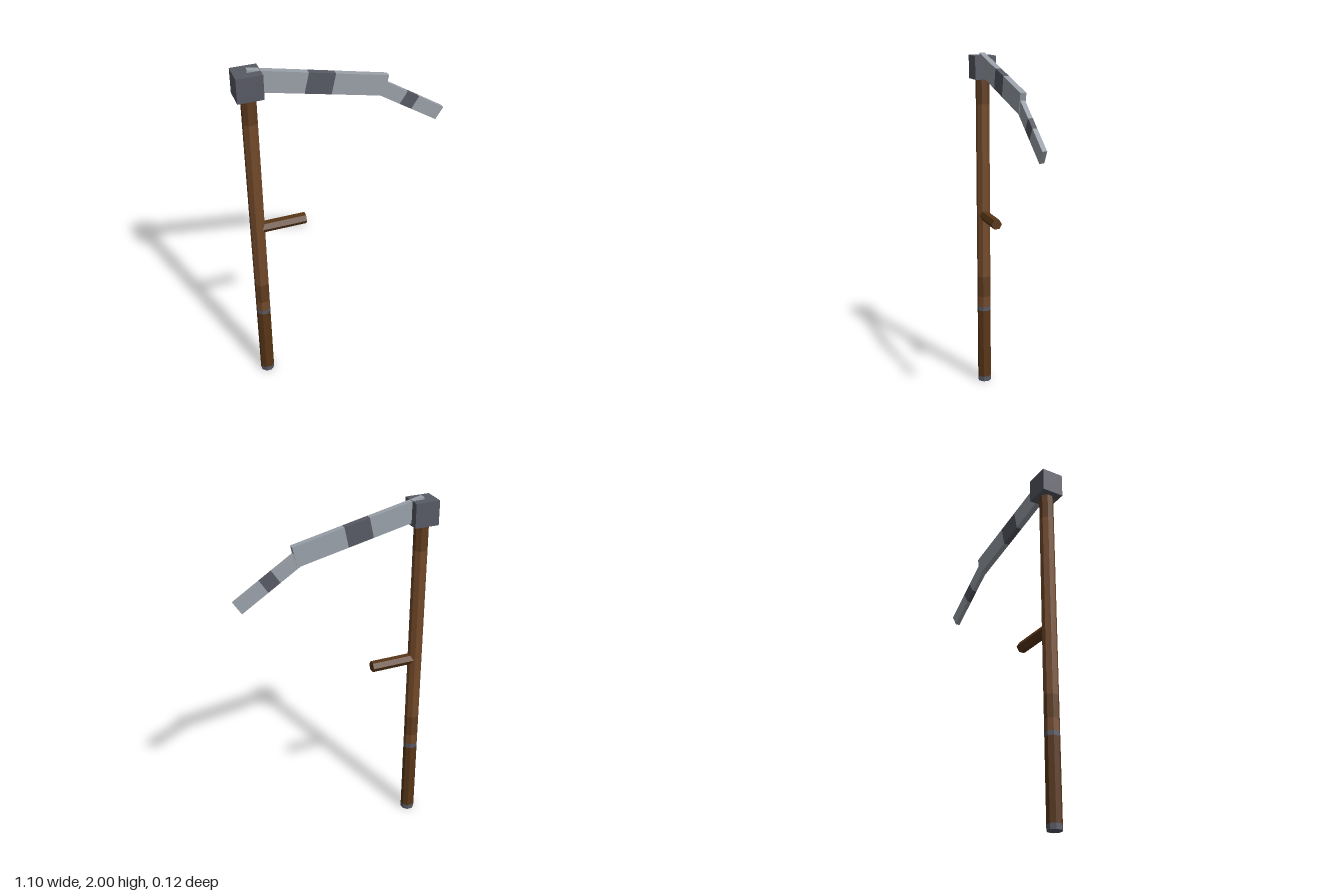
import * as THREE from 'three';

const mat = (name, color) => {
  const m = new THREE.MeshStandardMaterial({ color });
  m.name = name;
  m.flatShading = true;
  return m;
};

export function createModel() {
  const steel = mat('pale steel', 0x9aa1a9);
  const iron = mat('dark iron', 0x585a65);
  const wood = mat('wood', 0x734a2a);
  const stained = mat('stained wood', 0x613d20);
  const darkWood = mat('dark wood', 0x593617);

  const model = new THREE.Group();
  model.name = 'scythe';
  const add = (parent, name, geometry, material, x = 0, y = 0, z = 0) => {
    const mesh = new THREE.Mesh(geometry, material);
    mesh.name = name;
    mesh.position.set(x, y, z);
    parent.add(mesh);
    return mesh;
  };

  // Octagonal pole, stacked from coloured lengths
  const poleX = -0.486;
  const pole = new THREE.Group();
  pole.name = 'pole';
  model.add(pole);
  const lengths = [
    ['poleTip', 0, 0.03, iron],
    ['lowerGrip', 0.03, 0.46, darkWood],
    ['ironBand', 0.46, 0.485, iron],
    ['lowerShaft', 0.485, 0.55, wood],
    ['stainedBand', 0.55, 0.675, stained],
    ['mainShaft', 0.675, 1.71, wood],
    ['upperBand', 1.71, 1.88, stained],
  ];
  lengths.forEach(([name, y0, y1, material], i) => {
    const g = new THREE.CylinderGeometry(0.0395, 0.0395, y1 - y0, 8, 1, i > 0);
    g.rotateY(Math.PI / 8);
    add(pole, name, g, material, poleX, (y0 + y1) / 2);
  });

  // Hexagonal side handle
  const handle = new THREE.CylinderGeometry(0.031, 0.031, 0.25, 6);
  handle.rotateZ(-Math.PI / 2);
  add(model, 'sideHandle', handle, darkWood, -0.345, 1.055);

  // Block joining pole and blade
  add(model, 'headBlock', new THREE.BoxGeometry(0.134, 0.132, 0.122), iron, -0.487, 1.92);

  // Blade bars: origin at the upper starting corner, running along local x
  const bar = (name, x, y, angle, length, height, depth, from, to) => {
    const group = new THREE.Group();
    group.name = name;
    group.position.set(x, y, 0);
    group.rotation.z = angle;
    model.add(group);
    [[0, from, steel, 'Root'], [from, to, iron, 'DarkBand'], [to, length, steel, 'End']]
      .forEach(([a, b, material, part]) => {
        add(group, name + part, new THREE.BoxGeometry(b - a, height, depth), material, (a + b) / 2, -height / 2);
      });
  };
  bar('blade', -0.486, 2.0, -0.218, 0.738, 0.114, 0.032, 0.31, 0.452);
  bar('bladeTip', 0.2, 1.817, -0.571, 0.416, 0.077, 0.025, 0.168, 0.246);

  return model;
}
